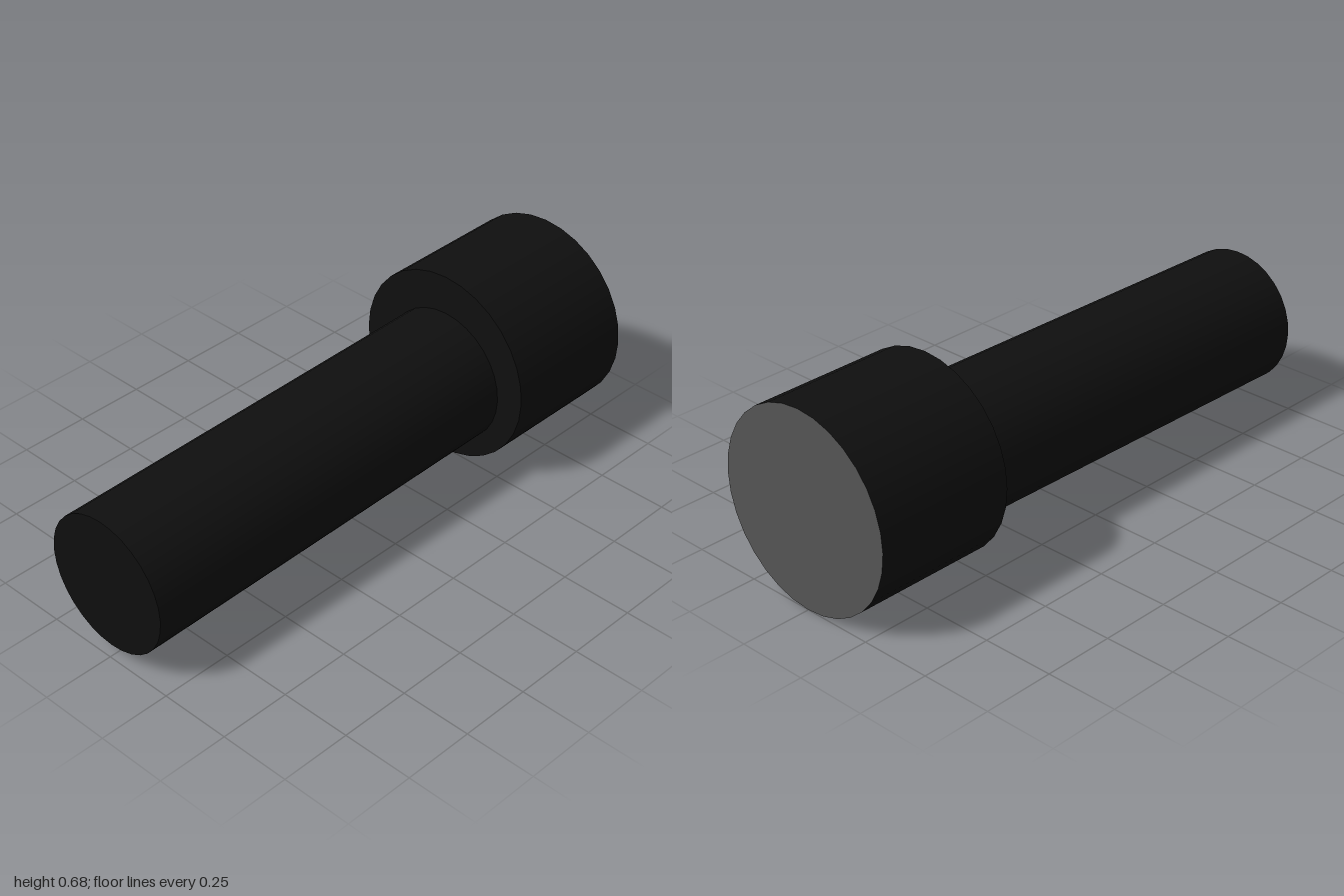
import * as THREE from 'three';

const SIDES = 32;
const HEAD_R = 0.34, HEAD_FRONT = -0.495, HEAD_BACK = -1;
const BODY_R = 0.2375, BODY_LENGTH = 1.55, BODY_TILT = 0.015;

function addMesh(group, name, geometry, material, x, y, z) {
  const mesh = new THREE.Mesh(geometry, material);
  mesh.name = name;
  mesh.position.set(x, y, z);
  group.add(mesh);
  return mesh;
}

export function createModel() {
  const model = new THREE.Group();
  model.name = 'flashlight';
  const black = new THREE.MeshStandardMaterial({ color: 0x0f0f0f });
  const glass = new THREE.MeshStandardMaterial({ color: 0x555555 });

  // Wide head: open tube, closed by a shoulder in front and the lens behind
  const tube = new THREE.CylinderGeometry(HEAD_R, HEAD_R, HEAD_FRONT - HEAD_BACK, SIDES, 1, true);
  tube.rotateX(Math.PI / 2);
  addMesh(model, 'head', tube, black, 0, HEAD_R, (HEAD_FRONT + HEAD_BACK) / 2);

  const disc = new THREE.CircleGeometry(HEAD_R, SIDES);
  addMesh(model, 'headShoulder', disc, black, 0, HEAD_R, HEAD_FRONT);
  addMesh(model, 'lens', disc, glass, 0, HEAD_R, HEAD_BACK).rotation.y = Math.PI;

  // Long handle, drooping slightly towards its free end and sunk into the head
  const handle = new THREE.CylinderGeometry(BODY_R, BODY_R, BODY_LENGTH, SIDES);
  handle.rotateX(Math.PI / 2 + BODY_TILT);
  addMesh(model, 'handle', handle, black, 0.003, 0.2945, 0.2215);

  return model;
}
